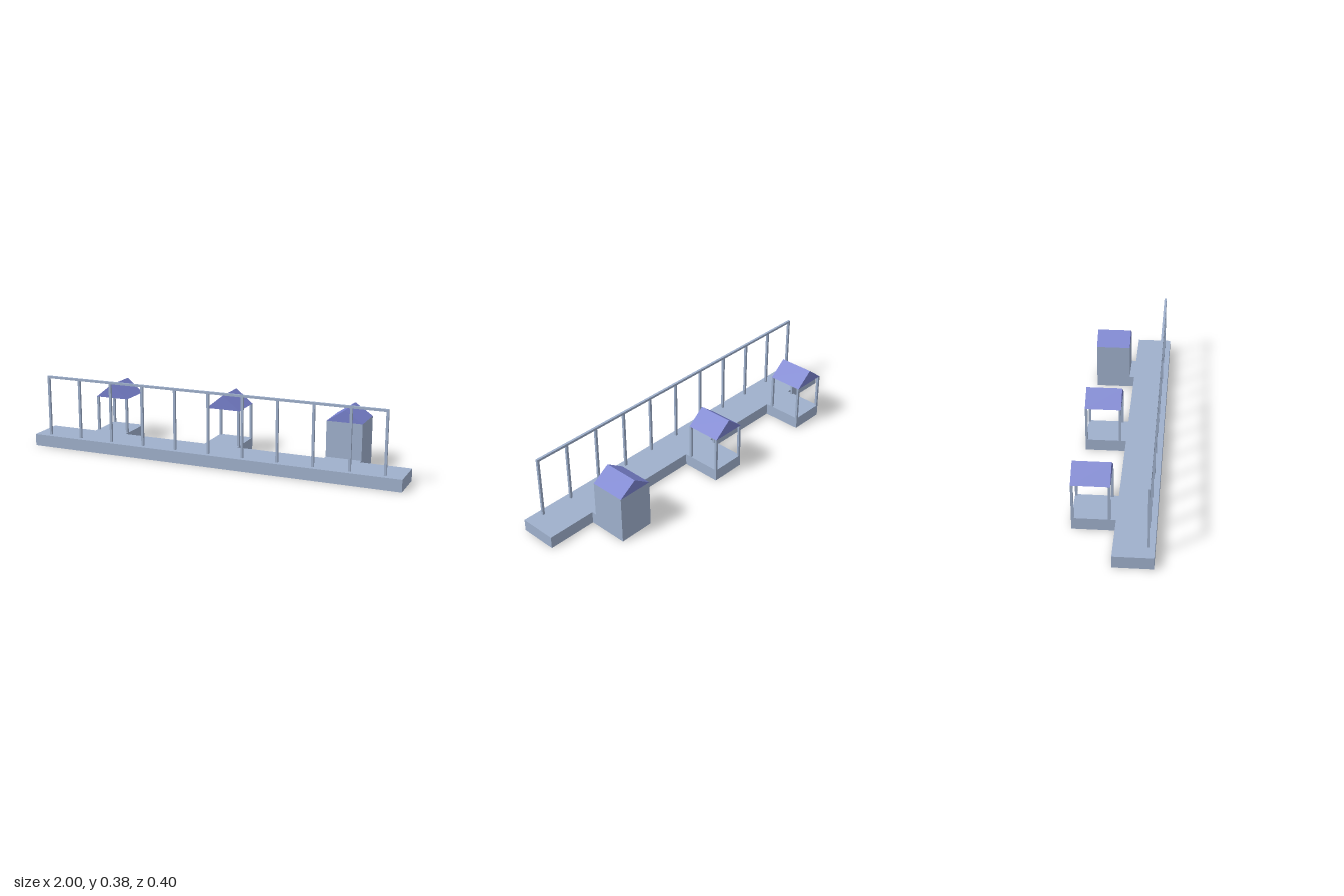
import * as THREE from 'three';

const stone = new THREE.MeshStandardMaterial({ color: 0x9fb0cc, flatShading: true });
const roofing = new THREE.MeshStandardMaterial({ color: 0x7780cc, flatShading: true });

const DECK = 0.062, EAVES = 0.247, BACK = -0.2, FRONT = -0.017, HALF = 0.092;

// Box given by its lower and upper corners
function box(name, x0, x1, y0, y1, z0, z1) {
  const geo = new THREE.BoxGeometry(x1 - x0, y1 - y0, z1 - z0);
  geo.translate((x0 + x1) / 2, (y0 + y1) / 2, (z0 + z1) / 2);
  const mesh = new THREE.Mesh(geo, stone);
  mesh.name = name;
  return mesh;
}

// Solid gabled roof with its ridge along z
function gableRoof(rise) {
  const shape = new THREE.Shape([
    new THREE.Vector2(-HALF, 0),
    new THREE.Vector2(HALF, 0),
    new THREE.Vector2(0, rise),
  ]);
  const geo = new THREE.ExtrudeGeometry(shape, { depth: FRONT - BACK, bevelEnabled: false });
  const mesh = new THREE.Mesh(geo, roofing);
  mesh.name = 'roof';
  mesh.position.set(0, EAVES, BACK);
  return mesh;
}

// Bay behind the deck: open pavilion on four posts, or a closed tower
function bay(name, x, closed) {
  const group = new THREE.Group();
  group.name = name;
  group.position.x = x;
  group.add(box('bayFloor', -HALF, HALF, 0, DECK, BACK, 0.008));
  if (closed) {
    group.add(box('towerWalls', -HALF, HALF, DECK, EAVES, BACK, FRONT));
  } else {
    const t = 0.012;
    for (const px of [-HALF, HALF - t])
      for (const pz of [BACK, FRONT - t])
        group.add(box('roofPost', px, px + t, DECK, EAVES, pz, pz + t));
  }
  group.add(gableRoof(closed ? 0.062 : 0.074));
  return group;
}

export function createModel() {
  const model = new THREE.Group();
  model.name = 'platform';

  // Long deck
  model.add(box('deck', -1, 1, 0, DECK, 0.008, 0.2));

  // Three bays along the back
  model.add(bay('rightPavilion', -0.65, false));
  model.add(bay('middlePavilion', 0, false));
  model.add(bay('leftTower', 0.65, true));

  // Row of posts carrying a rail along the front
  const w = 0.006, z0 = 0.163, z1 = 0.175;
  for (let i = 0; i < 11; i++) {
    const x = Math.min(-0.921 + i * 0.1842, 0.911);
    model.add(box('railPost', x - w, x + w, DECK, 0.372, z0, z1));
  }
  model.add(box('topRail', -0.927, 0.917, 0.371, 0.383, z0, z1));

  return model;
}
